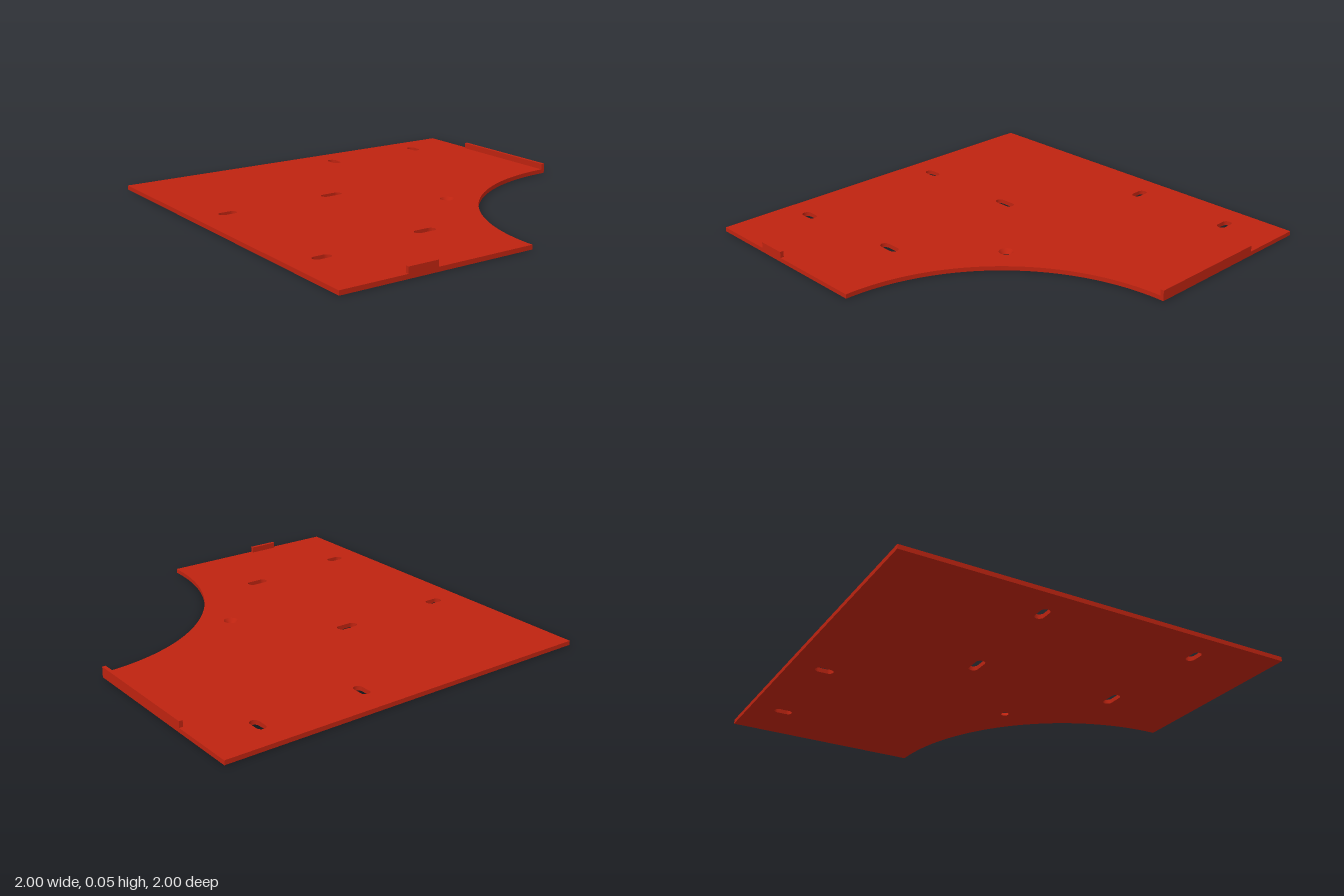
import * as THREE from 'three';

const T = 0.022;      // plate thickness
const LIP_TOP = 0.053; // height of the upright lips
const LIP = 0.018;    // lip thickness

// Rounded slot outline centred on (x, z), lengths along each axis
function slot(x, z, lx, lz) {
  const r = Math.min(lx, lz) / 2, dx = lx / 2 - r, dz = lz / 2 - r;
  const turn = lz > lx ? Math.PI / 2 : 0;
  const path = new THREE.Path();
  path.absarc(x + dx, z + dz, r, turn - Math.PI / 2, turn + Math.PI / 2, false);
  path.absarc(x - dx, z - dz, r, turn + Math.PI / 2, turn + Math.PI * 1.5, false);
  path.closePath();
  return path;
}

export function createModel() {
  const group = new THREE.Group();
  group.name = 'mountingPlate';
  const red = new THREE.MeshStandardMaterial({ color: 0xbe2310 });
  red.name = 'red';

  const add = (name, geometry) => {
    const mesh = new THREE.Mesh(geometry, red);
    mesh.name = name;
    group.add(mesh);
    return mesh;
  };

  // Plate with a quarter-circle cut from its front left corner
  const outline = new THREE.Shape();
  outline.moveTo(-1, -1);
  outline.lineTo(1, -1);
  outline.lineTo(1, 0);
  outline.absarc(1, 1, 1, Math.PI * 1.5, Math.PI, true);
  outline.lineTo(-1, 1);
  outline.closePath();

  // Slots: x, z, length in x, length in z
  const slots = [
    [0.165, -0.83, 0.046, 0.092], [0.722, -0.83, 0.046, 0.092],
    [-0.83, -0.223, 0.092, 0.046], [-0.246, -0.223, 0.114, 0.046],
    [-0.83, 0.61, 0.092, 0.046], [-0.246, 0.555, 0.114, 0.046],
  ];
  for (const s of slots) outline.holes.push(slot(...s));

  // Opening for the countersunk screw hole
  const hole = { x: 0.18, z: 0.18, top: 0.036, bottom: 0.019 };
  outline.holes.push(new THREE.Path().absarc(hole.x, hole.z, hole.top, 0, Math.PI * 2, false));

  const plate = new THREE.ExtrudeGeometry(outline, { depth: T, bevelEnabled: false, curveSegments: 32 });
  plate.rotateX(Math.PI / 2).translate(0, T, 0);
  add('plate', plate);

  // Conical countersink and the underside ring around its small opening
  const cone = new THREE.CylinderGeometry(hole.top, hole.bottom, T, 64, 1, true);
  cone.scale(-1, 1, 1); // mirrored so that the inside faces the hole
  const normals = cone.attributes.normal;
  for (let i = 0; i < normals.count; i++) {
    normals.setXYZ(i, -normals.getX(i), -normals.getY(i), -normals.getZ(i));
  }
  add('countersink', cone).position.set(hole.x, T / 2, hole.z);
  const ring = new THREE.RingGeometry(hole.bottom, hole.top, 64).rotateX(Math.PI / 2);
  add('countersinkUnderside', ring).position.set(hole.x, 0, hole.z);

  // Upright lips along the left and front edges
  const lip = (name, x0, x1, z0, z1) =>
    add(name, new THREE.BoxGeometry(x1 - x0, LIP_TOP - T, z1 - z0))
      .position.set((x0 + x1) / 2, (LIP_TOP + T) / 2, (z0 + z1) / 2);
  lip('leftLip', 1 - LIP, 1, -0.665, 0);
  lip('frontLip', -0.667, -0.513, 1 - LIP, 1);

  return group;
}
